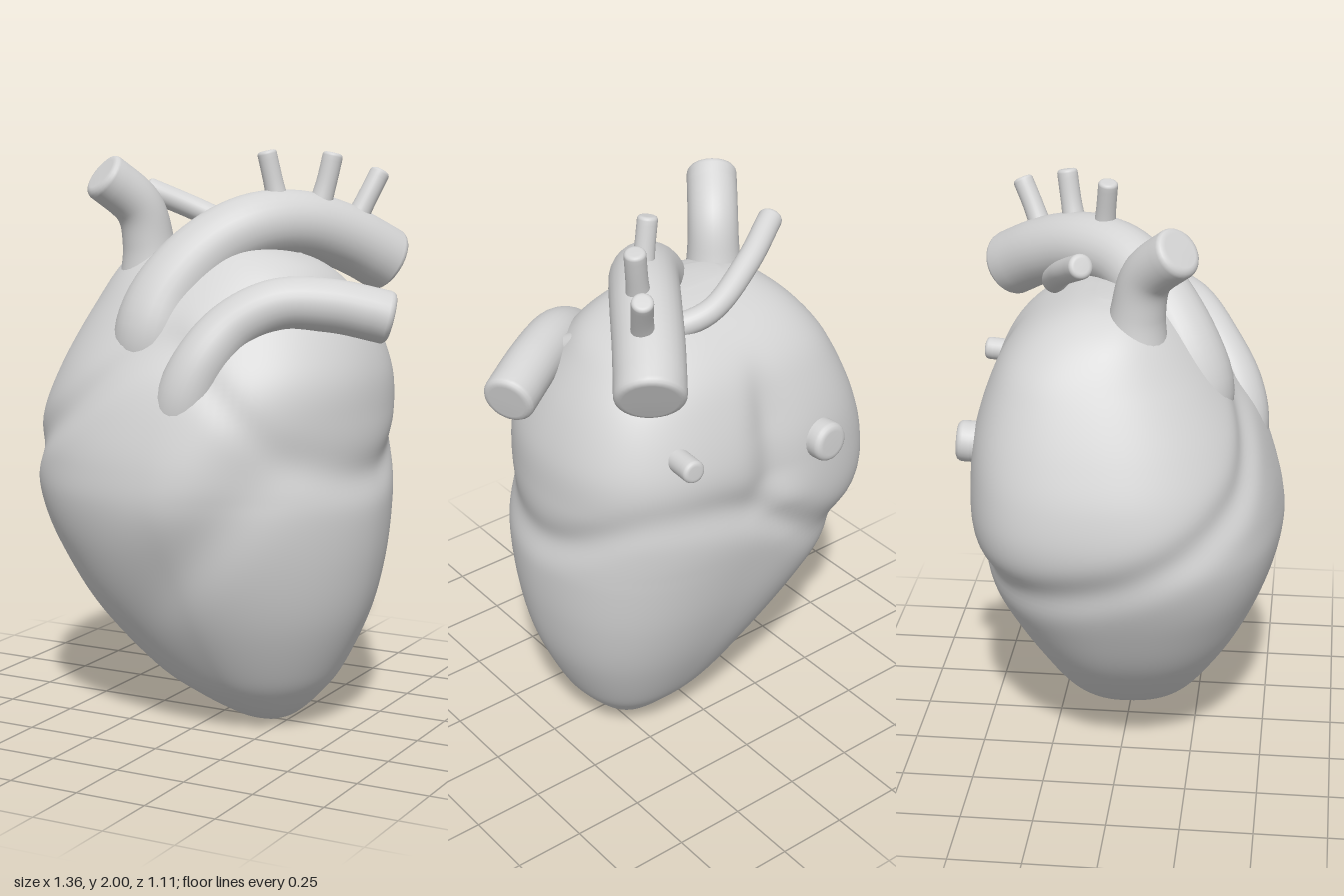
import * as THREE from 'three';
import { mergeVertices } from 'three/addons/utils/BufferGeometryUtils.js';

const V = (p) => new THREE.Vector3(...p);
const bell = (d, w) => Math.exp(-(d * d) / (w * w));
const step = THREE.MathUtils.smoothstep;

// Muscle body sections: [y, right edge x, left edge x, back z, front z]
const SECTIONS = [
  [0.003, 0.15, 0.22, -0.04, 0.03],
  [0.03, 0.07, 0.28, -0.12, 0.1],
  [0.1, -0.08, 0.355, -0.2, 0.19],
  [0.2, -0.24, 0.43, -0.28, 0.28],
  [0.4, -0.435, 0.52, -0.38, 0.4],
  [0.6, -0.56, 0.565, -0.45, 0.485],
  [0.8, -0.65, 0.58, -0.495, 0.54],
  [0.95, -0.683, 0.57, -0.515, 0.54],
  [1.1, -0.667, 0.565, -0.515, 0.505],
  [1.25, -0.615, 0.548, -0.5, 0.445],
  [1.4, -0.545, 0.49, -0.455, 0.355],
  [1.52, -0.475, 0.41, -0.395, 0.27],
  [1.61, -0.4, 0.32, -0.305, 0.19],
  [1.67, -0.31, 0.17, -0.19, 0.12],
  [1.695, -0.21, -0.01, -0.09, 0.04],
];
// Groove between upper and lower chambers, every 45 degrees from the left side: [height, depth]
const GROOVE = [
  [0.92, 0.022], [1.0, 0.008], [1.36, 0.018], [1.06, 0.024],
  [0.82, 0.024], [0.79, 0.032], [1.03, 0.032], [1.09, 0.014],
];

function bodyGeometry() {
  const xs = new THREE.CatmullRomCurve3(SECTIONS.map((s) => V([s[1], s[0], s[2]])), false, 'catmullrom');
  const zs = new THREE.CatmullRomCurve3(SECTIONS.map((s) => V([s[3], s[0], s[4]])), false, 'catmullrom');
  const groove = new THREE.CatmullRomCurve3(GROOVE.map(([h, d], i) => V([i, h, d])), true, 'catmullrom');
  const rows = 112, cols = 120, pos = [], idx = [];
  for (let i = 0; i <= rows; i++) {
    const a = xs.getPoint(i / rows), b = zs.getPoint(i / rows), y = a.y;
    const lean = 0.18 * Math.max(0, 1 - y / 0.85) - 0.06 * Math.max(0, y - 1.1);
    const cx = THREE.MathUtils.clamp(lean, a.x * 0.75 + a.z * 0.25, a.x * 0.25 + a.z * 0.75);
    const cz = (b.x + b.z) / 2 - 0.07 * Math.min(1, y) * (1 - step(y, 1.45, 1.65));
    const upper = step(y, 0.95, 1.3), lower = 1 - step(y, 0.65, 0.95);
    for (let j = 0; j < cols; j++) {
      const t = (j / cols) * Math.PI * 2, c = Math.cos(t), s = Math.sin(t);
      const rx = c > 0 ? a.z - cx : cx - a.x;
      const rz = s > 0 ? b.z - cz : cz - b.x;
      // squarer towards the back, most of all at the back right
      const corner = s > 0 ? (c < 0 ? 0.35 + 0.25 * lower : 0.4 * upper - 0.15)
        : Math.sqrt(-s) * (c < 0 ? 1.5 * step(y, 0.3, 1) : 0.6 + 0.3 * upper);
      const n = 2 + corner;
      let r = Math.pow(Math.pow(Math.abs(c) / rx, n) + Math.pow(Math.abs(s) / rz, n), -1 / n);
      // chamber groove
      const g = groove.getPoint(j / cols);
      r -= g.z * bell(y - g.y, 0.075);
      // groove between the two upper chambers at the back
      const mid = step(y, 0.98, 1.15) * (1 - step(y, 1.3, 1.6));
      r -= 0.034 * mid * bell(t - 4.5, 0.22);
      // slanting groove across the front
      const x = cx + r * c;
      if (s > 0) {
        const across = (x - 0.2) * 0.75 - (y - 0.73) * 0.66;
        const along = (x - 0.2) * 0.66 + (y - 0.73) * 0.75;
        r -= s * bell(along, 0.38) * (0.02 * bell(across, 0.1) - 0.01 * bell(across + 0.2, 0.12));
      }
      pos.push(cx + r * c, y, cz + r * s);
    }
  }
  for (let i = 0; i < rows; i++) {
    for (let j = 0; j < cols; j++) {
      const k = (j + 1) % cols, a = i * cols + j, b = i * cols + k, c = a + cols, d = b + cols;
      idx.push(a, c, b, b, c, d);
    }
  }
  // close the tip and the top
  const tip = pos.length / 3, top = tip + 1, last = rows * cols;
  pos.push(0.185, 0, -0.005, -0.11, 1.7, -0.025);
  for (let j = 0; j < cols; j++) {
    const k = (j + 1) % cols;
    idx.push(tip, j, k, top, last + k, last + j);
  }
  const geo = new THREE.BufferGeometry();
  geo.setAttribute('position', new THREE.Float32BufferAttribute(pos, 3));
  geo.setIndex(idx);
  geo.computeVertexNormals();
  return geo;
}

// Vessel: a tube with a flared root and a softly rounded flat end
function vesselGeometry(points, r, flare) {
  const curve = new THREE.CatmullRomCurve3(points.map(V));
  const N = 44, R = 28, len = curve.getLength();
  const g = new THREE.TubeGeometry(curve, N, r, R, false);
  const p = g.attributes.position, v = new THREE.Vector3();
  const soft = Math.min(0.022, r * 0.35);
  // end rings: [distance back from the end, radius factor]
  const ends = [[soft, 1], [soft * 0.6, 1 - (0.1 * soft) / r], [soft * 0.25, 1 - (0.35 * soft) / r],
    [0.05 * soft, 1 - (0.75 * soft) / r], [0, 1 - (1.2 * soft) / r], [0, 0]];
  const first = N + 1 - ends.length;
  for (let i = 0; i <= N; i++) {
    const own = curve.getPointAt(i / N);
    const end = i >= first ? ends[i - first] : null;
    const u = end ? 1 - end[0] / len : (i / first) * (1 - (2 * soft) / len);
    const k = end ? end[1] : 1 + flare * bell(u, 0.3);
    const centre = curve.getPointAt(u);
    for (let j = 0; j <= R; j++) {
      const q = i * (R + 1) + j;
      v.fromBufferAttribute(p, q).sub(own).multiplyScalar(k).add(centre);
      p.setXYZ(q, v.x, v.y, v.z);
    }
  }
  g.deleteAttribute('uv');
  g.deleteAttribute('normal');
  const merged = mergeVertices(g, 1e-5);
  merged.computeVertexNormals();
  return merged;
}

// Vessels: name, radius, root flare, path
const VESSELS = [
  ['aorta', 0.117, 0.25, [[-0.16, 1.22, 0.19], [-0.15, 1.36, 0.235], [-0.12, 1.5, 0.195], [-0.025, 1.65, 0.095],
    [0.09, 1.735, -0.02], [0.2, 1.745, -0.17], [0.31, 1.69, -0.33], [0.415, 1.6, -0.475]]],
  ['archBranchFront', 0.034, 0.2, [[0.16, 1.8, -0.1], [0.14, 1.9, -0.09], [0.12, 1.998, -0.08]]],
  ['archBranchMiddle', 0.036, 0.2, [[0.255, 1.78, -0.21], [0.28, 1.89, -0.23], [0.298, 1.99, -0.245]]],
  ['archBranchBack', 0.036, 0.2, [[0.33, 1.72, -0.33], [0.37, 1.83, -0.375], [0.402, 1.925, -0.42]]],
  ['pulmonaryTrunk', 0.09, 0.22, [[0.03, 1.02, 0.35], [0.055, 1.17, 0.385], [0.1, 1.3, 0.36], [0.175, 1.42, 0.285],
    [0.3, 1.495, 0.2], [0.45, 1.495, 0.11], [0.635, 1.45, 0.005]]],
  ['rightPulmonaryArtery', 0.042, 0, [[0.35, 1.49, 0.14], [0.26, 1.59, -0.06], [0.13, 1.64, -0.2],
    [0, 1.68, -0.25], [-0.2, 1.775, -0.2], [-0.38, 1.86, -0.11]]],
  ['upperVein', 0.086, 0.35, [[-0.265, 1.48, 0.05], [-0.27, 1.67, 0.06], [-0.29, 1.8, 0.09], [-0.375, 1.92, 0.205]]],
  ['backVeinRight', 0.07, 0.25, [[-0.29, 1.2, -0.38], [-0.295, 1.2, -0.46], [-0.3, 1.205, -0.55]]],
  ['backVeinLeft', 0.04, 0.25, [[0.27, 1.31, -0.34], [0.28, 1.315, -0.45], [0.29, 1.32, -0.545]]],
];

export function createModel() {
  const group = new THREE.Group();
  group.name = 'heart';
  const grey = new THREE.MeshStandardMaterial({ color: 0xd4d4d4 });
  grey.name = 'light grey';
  const add = (name, geometry) => {
    const mesh = new THREE.Mesh(geometry, grey);
    mesh.name = name;
    group.add(mesh);
  };
  add('muscleBody', bodyGeometry());
  for (const [name, r, flare, path] of VESSELS) add(name, vesselGeometry(path, r, flare));
  return group;
}
